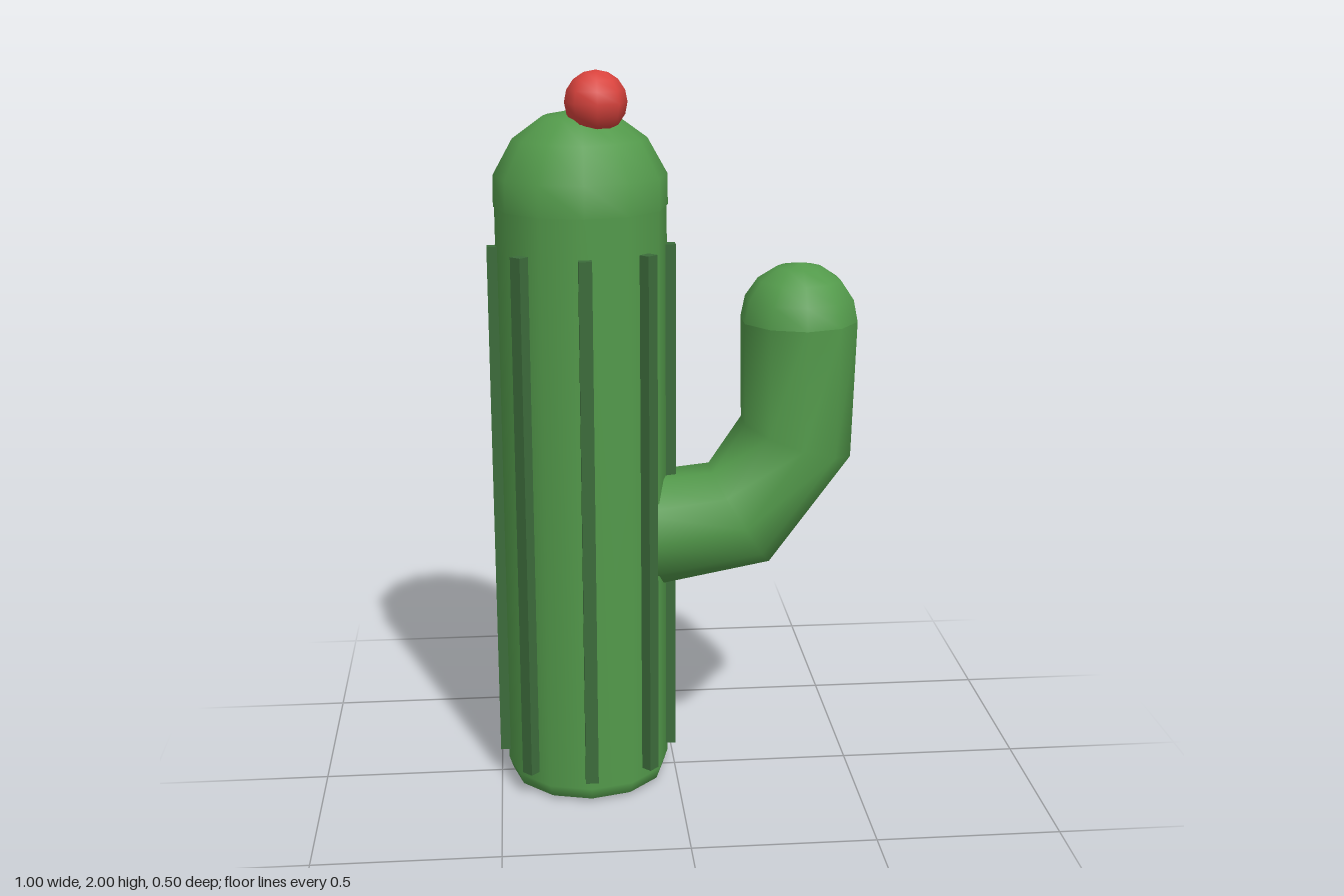
import * as THREE from 'three';
import { mergeVertices } from 'three/addons/utils/BufferGeometryUtils.js';

const TRUNK_X = -0.25;
const TRUNK_R = 0.229;
const ARM_R = 0.162;

export function createModel() {
  const group = new THREE.Group();
  const green = new THREE.MeshStandardMaterial({ color: 0x539a4b });
  green.name = 'cactus green';
  const darkGreen = new THREE.MeshStandardMaterial({ color: 0x3c6c3b });
  darkGreen.name = 'rib dark green';
  const red = new THREE.MeshStandardMaterial({ color: 0xd9433d });
  red.name = 'flower red';

  function add(name, geometry, material, x = 0, y = 0, z = 0) {
    const mesh = new THREE.Mesh(geometry, material);
    mesh.name = name;
    mesh.position.set(x, y, z);
    group.add(mesh);
    return mesh;
  }
  const lathe = (profile, sides) =>
    new THREE.LatheGeometry(profile.map(([r, y]) => new THREE.Vector2(r, y)), sides);

  // Trunk with a slightly rounded foot
  add('trunk', lathe([[0.2, 0.002], [0.218, 0.012], [TRUNK_R, 0.045], [TRUNK_R, 1.64]], 12), green, TRUNK_X);
  const base = add('trunkBase', new THREE.CircleGeometry(0.2, 12), green, TRUNK_X, 0.002);
  base.rotation.x = Math.PI / 2;

  // Domed trunk top
  add('trunkDome', lathe([[0.232, 1.64], [0.231, 1.723], [0.178, 1.818], [0.098, 1.876], [0, 1.895]], 12), green, TRUNK_X);

  // Eight vertical ribs around the trunk
  for (let i = 0; i < 8; i++) {
    const a = (i * Math.PI) / 4;
    const rib = add('rib', new THREE.BoxGeometry(0.035, 1.46, 0.04), darkGreen,
      TRUNK_X + Math.sin(a) * 0.232, 0.805, Math.cos(a) * 0.232);
    rib.rotation.y = a;
  }

  // Bent arm: each ring of a cylinder is moved to a [x, y, heading in degrees] station
  const stations = [[0.34, 1.32, 90], [0.337, 0.988, 72], [0.181, 0.77, 31.5], [-0.13, 0.722, 9]];
  let arm = new THREE.CylinderGeometry(ARM_R, ARM_R, 3, 10, 3, true);
  const pos = arm.attributes.position;
  for (let i = 0; i < pos.count; i++) {
    const [cx, cy, deg] = stations[Math.round(1.5 - pos.getY(i))];
    const t = THREE.MathUtils.degToRad(deg);
    const across = pos.getX(i);
    pos.setXY(i, cx + across * Math.sin(t), cy - across * Math.cos(t));
  }
  arm.deleteAttribute('normal');
  arm.deleteAttribute('uv');
  arm = mergeVertices(arm);
  arm.computeVertexNormals();
  add('arm', arm, green);

  // Rounded arm tip
  const tip = [];
  for (let i = 0; i <= 4; i++) {
    const a = (i * Math.PI) / 8;
    tip.push([i === 4 ? 0 : ARM_R * Math.cos(a), 0.157 * Math.sin(a)]);
  }
  add('armTip', lathe(tip, 10), green, 0.34, 1.32);

  // Flower bud on the crown
  add('flower', new THREE.SphereGeometry(0.082, 8, 8), red, -0.21, 1.918, 0.07);

  return group;
}
